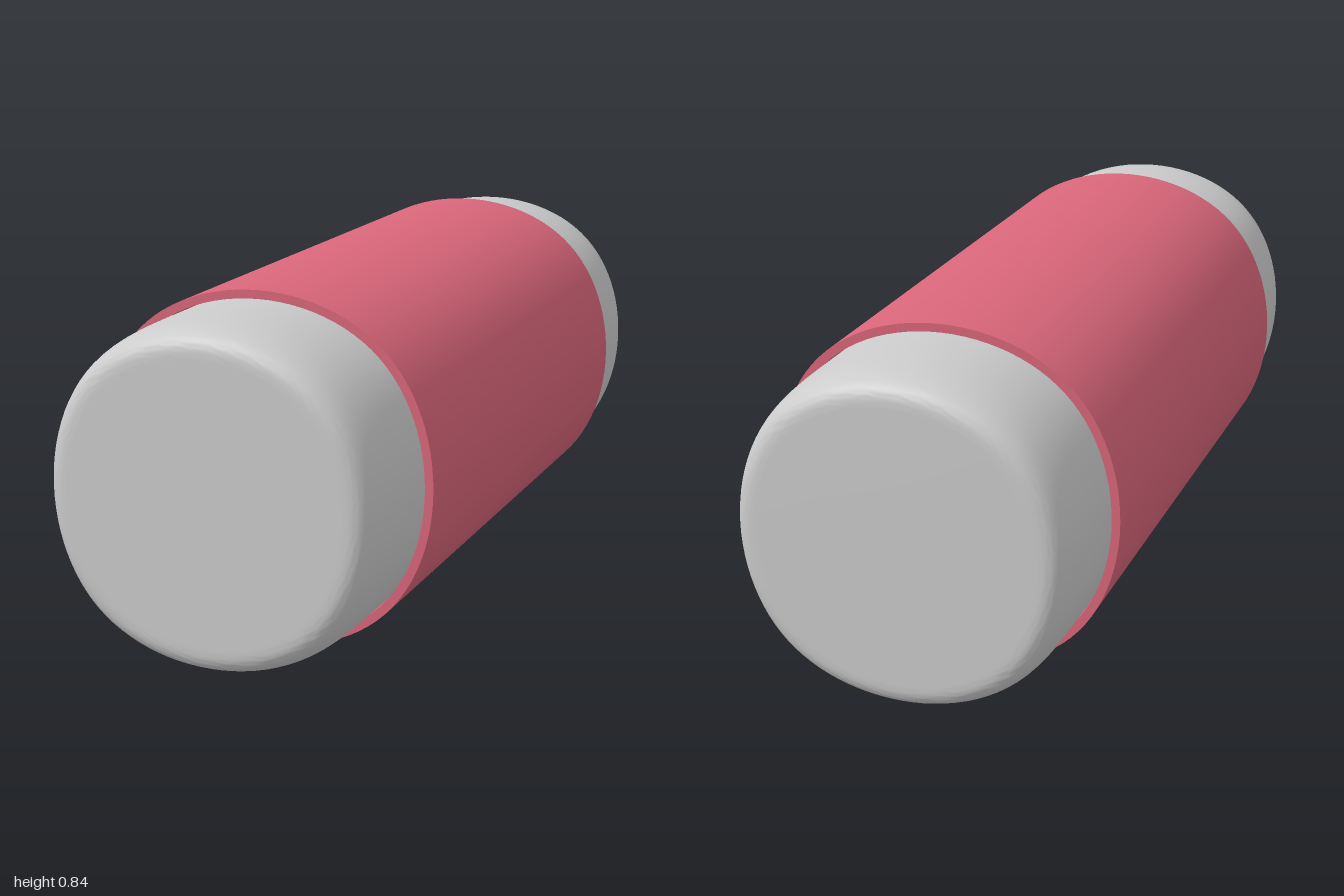
import * as THREE from 'three';
import { toCreasedNormals } from 'three/addons/utils/BufferGeometryUtils.js';

const SIDES = 96;
const CENTER_Y = 0.419;

// Point on a uniform cubic B-spline segment through four control points
function bspline(a, b, c, d, t) {
  const u = 1 - t;
  const w = [u * u * u, 3 * t ** 3 - 6 * t * t + 4, -3 * t ** 3 + 3 * t * t + 3 * t + 1, t ** 3];
  return [0, 1].map(k => (w[0] * a[k] + w[1] * b[k] + w[2] * c[k] + w[3] * d[k]) / 6);
}

// Rounded-square section: closed spline round a square, half width 1
function sectionRing() {
  const square = [[1, -1], [1, 1], [-1, 1], [-1, -1]];
  const per = SIDES / 4, ring = [];
  for (let j = 0; j < SIDES; j++) {
    const q = Math.floor(j / per);
    const p = [0, 1, 2, 3].map(k => square[(q + k + 3) % 4]);
    ring.push(bspline(...p, (j % per) / per).map(v => v * 12 / 11));
  }
  return ring;
}

// Sweep the section along a profile of [half width, z] steps
function loft(profile, crease) {
  const ring = sectionRing(), pos = [], index = [];
  for (const [r, z] of profile) for (const [x, y] of ring) pos.push(x * r, y * r, z);
  for (let i = 0; i < profile.length - 1; i++) {
    for (let j = 0; j < SIDES; j++) {
      const k = (j + 1) % SIDES;
      const a = i * SIDES + j, b = i * SIDES + k, c = a + SIDES, d = b + SIDES;
      if (profile[i][0] > 0) index.push(a, d, b);
      if (profile[i + 1][0] > 0) index.push(a, c, d);
    }
  }
  const geometry = new THREE.BufferGeometry();
  geometry.setAttribute('position', new THREE.Float32BufferAttribute(pos, 3));
  geometry.setIndex(index);
  return toCreasedNormals(geometry, crease);
}

export function createModel() {
  const group = new THREE.Group();
  const add = (name, geometry, color) => {
    const mesh = new THREE.Mesh(geometry, new THREE.MeshStandardMaterial({ color }));
    mesh.name = name;
    mesh.position.y = CENTER_Y;
    group.add(mesh);
  };

  // Block with flat ends and softly rounded rims
  const R = 0.396;
  const control = [[0.62 * R, 1], [0.81 * R, 1], [R, 1], [R, 0.75], [R, 0.5]];
  const half = [[0, 1]];
  for (let s = 0; s < 2; s++) {
    for (let i = 0; i < 12; i++) half.push(bspline(...control.slice(s, s + 4), i / 12));
  }
  half.push([R, 0.75]);
  const back = half.map(([r, z]) => [r, -z]).reverse();
  add('block', loft([...half, ...back], 0.6), 0xcccccc);

  // Sleeve wrapped round the middle
  const outer = 0.418, inner = 0.398, end = 0.7;
  const wall = [[inner, end], [outer, end], [outer, -end], [inner, -end], [inner, end]];
  add('sleeve', loft(wall, 0.6), 0xd9667a);

  return group;
}
